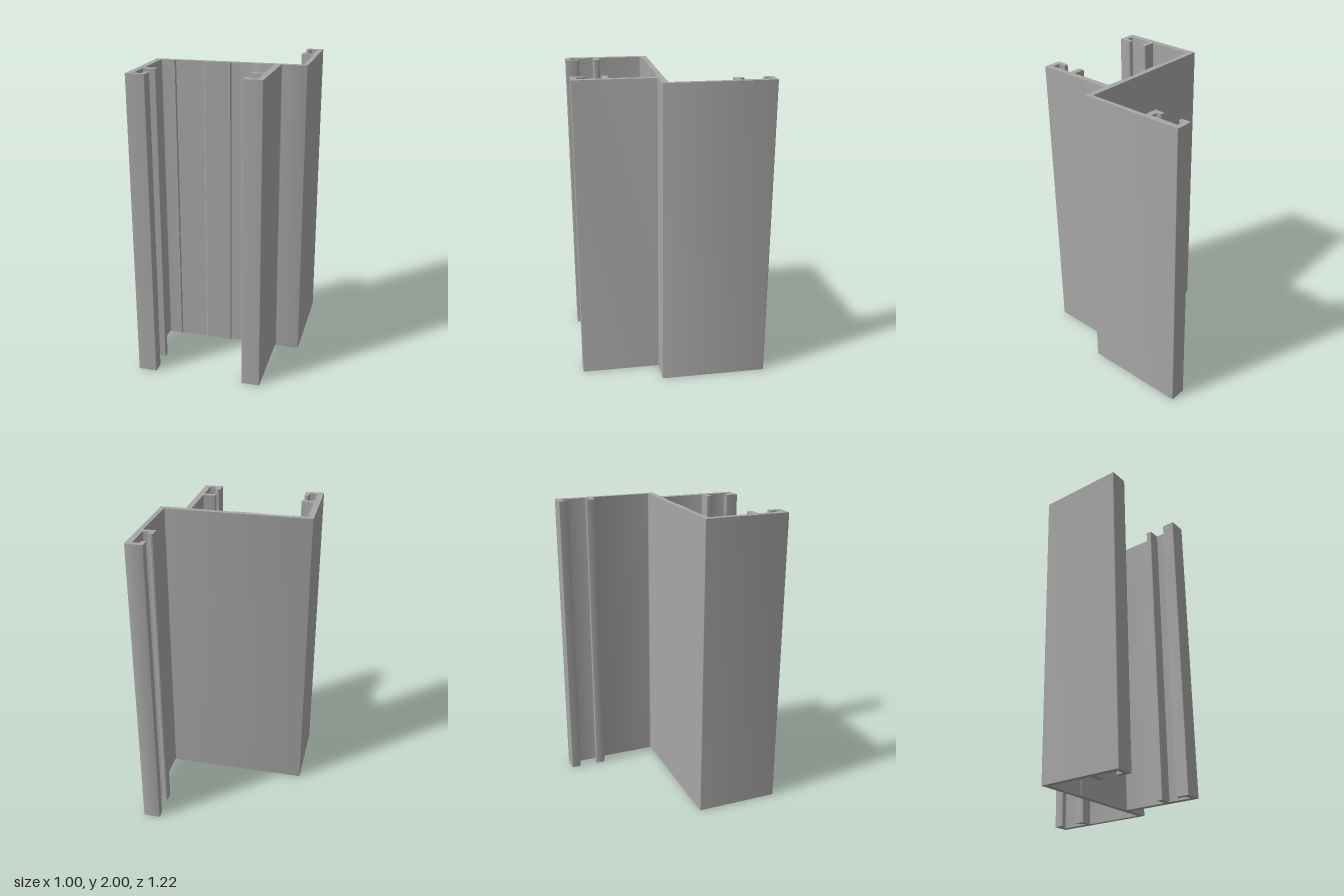
import * as THREE from 'three';
import { toCreasedNormals } from 'three/addons/utils/BufferGeometryUtils.js';

// Cross-section corners: [x, z, corner radius]
const TRACK_R = 0.015; // rounded hook tips
const EDGE = 0.005;    // slightly softened edges

const profile = [
  // back face of the web and inner face of the rear flange
  [-0.5, 0.048, EDGE], [0.467, 0.048, 0.008], [0.467, -0.359, 0.008],
  // rear channel: inner lip with hook, then outer lip with hook
  [0.384, -0.359, EDGE], [0.384, -0.426, TRACK_R], [0.415, -0.426, TRACK_R],
  [0.415, -0.394, 0.008], [0.459, -0.394, 0.004], [0.459, -0.58, 0.004],
  [0.415, -0.58, 0.008], [0.415, -0.547, TRACK_R], [0.384, -0.547, TRACK_R],
  [0.384, -0.613, EDGE], [0.497, -0.613, EDGE], [0.497, 0.087, EDGE],
  // front flange on the model's left
  [0.331, 0.087, 0.01], [0.331, 0.61, EDGE], [0.21, 0.61, EDGE],
  [0.21, 0.521, TRACK_R], [0.241, 0.521, TRACK_R], [0.241, 0.574, 0.01],
  [0.292, 0.574, 0.01], [0.292, 0.42, 0.004], [0.21, 0.42, EDGE],
  [0.21, 0.381, EDGE], [0.292, 0.381, 0.006], [0.292, 0.087, 0.012],
  // shallow recesses in the front of the web
  [0.2, 0.087, 0], [0.188, 0.08, 0], [0.008, 0.08, 0], [0.002, 0.086, 0],
  [-0.168, 0.086, 0], [-0.176, 0.08, 0], [-0.36, 0.08, 0], [-0.368, 0.087, 0],
  // front flange on the model's right
  [-0.46, 0.087, 0.012], [-0.46, 0.381, 0.006], [-0.377, 0.381, EDGE],
  [-0.377, 0.42, EDGE], [-0.46, 0.42, 0.004], [-0.46, 0.574, 0.01],
  [-0.408, 0.574, 0.01], [-0.408, 0.521, TRACK_R], [-0.377, 0.521, TRACK_R],
  [-0.377, 0.61, EDGE], [-0.5, 0.61, EDGE],
];

// Closed shape whose corners are rounded by their own radius
function roundedShape(corners) {
  const shape = new THREE.Shape();
  const pts = corners.map(([x, z]) => new THREE.Vector2(x, -z));
  const n = pts.length;
  const toward = (a, b, d) => b.clone().sub(a).setLength(d).add(a);
  pts.forEach((p, i) => {
    const r = corners[i][2];
    const start = r ? toward(p, pts[(i + n - 1) % n], r) : p;
    if (i === 0) shape.moveTo(start.x, start.y);
    else shape.lineTo(start.x, start.y);
    if (r) {
      const end = toward(p, pts[(i + 1) % n], r);
      shape.quadraticCurveTo(p.x, p.y, end.x, end.y);
    }
  });
  shape.closePath();
  return shape;
}

export function createModel() {
  const aluminium = new THREE.MeshStandardMaterial({ color: 0xa6a6a6 });
  aluminium.name = 'aluminium grey';

  // Constant section extruded upward from the ground
  const extrusion = new THREE.ExtrudeGeometry(roundedShape(profile), {
    depth: 2, bevelEnabled: false, curveSegments: 4,
  });
  extrusion.rotateX(-Math.PI / 2);

  const mesh = new THREE.Mesh(toCreasedNormals(extrusion, 0.55), aluminium);
  mesh.name = 'frameExtrusion';

  const group = new THREE.Group();
  group.name = 'frameProfile';
  group.add(mesh);
  return group;
}
